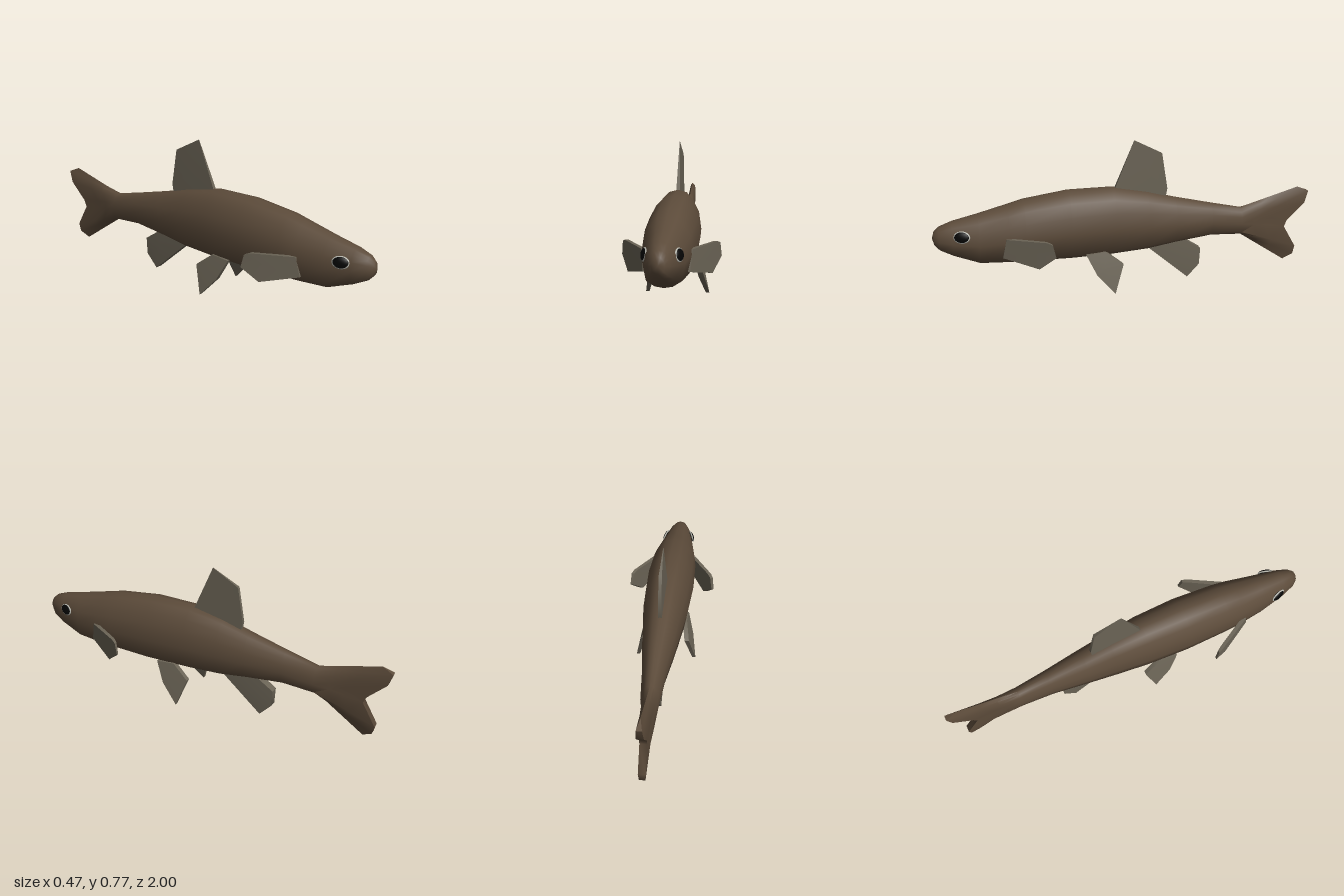
import * as THREE from 'three';
import { toCreasedNormals } from 'three/addons/utils/BufferGeometryUtils.js';

const material = (color) => new THREE.MeshStandardMaterial({ color, side: THREE.DoubleSide });

function makeGeometry(positions, index) {
  const g = new THREE.BufferGeometry();
  g.setAttribute('position', new THREE.Float32BufferAttribute(positions, 3));
  g.setIndex(index);
  return toCreasedNormals(g, 0.95);
}

// Right half of a body section from back to belly: width and height fractions
const SECTION = [[0, 1], [0.38, 0.965], [0.65, 0.86], [0.9, 0.69], [1, 0.44], [0.83, 0.12], [0.42, 0.025], [0, 0]];

// Body stations: z, top, bottom, half width
const STATIONS = [
  [0.99, 0.365, 0.295, 0.028], [0.965, 0.388, 0.268, 0.048], [0.9, 0.412, 0.235, 0.07],
  [0.77, 0.442, 0.186, 0.094], [0.62, 0.48, 0.181, 0.117], [0.54, 0.502, 0.18, 0.123],
  [0.31, 0.535, 0.176, 0.13], [0.08, 0.537, 0.18, 0.12], [-0.1, 0.502, 0.19, 0.1],
  [-0.25, 0.46, 0.213, 0.085], [-0.45, 0.413, 0.235, 0.06], [-0.62, 0.375, 0.225, 0.046],
];

// Forked rear edge, one z, y pair per section level
const TAIL_EDGE = [[-0.94, 0.467], [-1, 0.443], [-0.98, 0.38], [-0.885, 0.285],
  [-0.87, 0.25], [-0.94, 0.13], [-0.93, 0.085], [-0.88, 0.053]];

function bodyGeometry() {
  // Each ring is a list of half-section points [x, y, z]
  const rings = STATIONS.map(([z, top, bottom, w]) =>
    SECTION.map(([fx, fy]) => [fx * w, bottom + fy * (top - bottom), z]));
  const root = rings[rings.length - 1];
  // The tail stalk flattens and fans out into the fork
  for (const [t, w] of [[0.3, 0.03], [0.55, 0.022], [1, 0.018]]) {
    rings.push(root.map(([, y, z], i) => [
      w * Math.min(1, SECTION[i][0] * (1 + t)),
      y + (TAIL_EDGE[i][1] - y) * t,
      z + (TAIL_EDGE[i][0] - z) * t,
    ]));
  }
  const half = SECTION.length, n = 2 * half - 2;
  const positions = [], index = [];
  for (const ring of rings) {
    for (let i = 0; i < n; i++) {
      const [x, y, z] = ring[i < half ? i : n - i];
      positions.push(i < half ? x : -x, y, z);
    }
  }
  for (let k = 0; k < rings.length - 1; k++) {
    for (let i = 0; i < n; i++) {
      const a = k * n + i, b = k * n + (i + 1) % n;
      index.push(a, b, a + n, b, b + n, a + n);
    }
  }
  // Nose cap
  const nose = positions.length / 3;
  positions.push(0, 0.33, 1);
  for (let i = 0; i < n; i++) index.push(nose, (i + 1) % n, i);
  // Rear edge of the tail
  const last = (rings.length - 1) * n;
  for (let j = 0; j < half - 1; j++) {
    const r0 = last + j, r1 = last + j + 1;
    const l0 = last + (n - j) % n, l1 = last + n - j - 1;
    if (j < half - 2) index.push(r0, r1, l1);
    if (j > 0) index.push(r0, l1, l0);
  }
  return makeGeometry(positions, index);
}

// Thick fin from an outline of z, y, half thickness; midX bends it sideways
function finGeometry(outline, midX = () => 0) {
  const n = outline.length;
  const centre = [0, 1, 2].map((k) => outline.reduce((s, p) => s + p[k], 0) / n);
  centre[2] *= 1.25;
  const positions = [], index = [];
  for (const s of [1, -1]) {
    for (const [z, y, t] of [...outline, centre]) positions.push(midX(z, y) + s * t, y, z);
  }
  const m = n + 1;
  for (let i = 0; i < n; i++) {
    const j = (i + 1) % n;
    index.push(n, i, j, m + n, m + j, m + i); // two faces
    index.push(i, m + i, j, j, m + i, m + j); // rim
  }
  return makeGeometry(positions, index);
}

export function createModel() {
  const model = new THREE.Group();
  const skin = material(0x5c4b3a), finSkin = material(0x6a6355);
  const black = material(0x050505), pale = material(0xb5b5ac);

  const add = (name, geometry, mat, parent = model) => {
    const mesh = new THREE.Mesh(geometry, mat);
    mesh.name = name;
    parent.add(mesh);
    return mesh;
  };

  add('bodyAndTail', bodyGeometry(), skin);

  // Fins on the centre line
  add('dorsalFin', finGeometry([
    [0.07, 0.525, 0.01], [-0.2, 0.46, 0.01], [-0.21, 0.51, 0.009], [-0.18, 0.7, 0.008], [-0.035, 0.775, 0.001],
  ]), finSkin);
  add('analFin', finGeometry([
    [-0.1, 0.2, 0.022], [-0.325, 0.005, 0.02], [-0.39, 0.075, 0.02], [-0.395, 0.165, 0.02], [-0.28, 0.24, 0.022],
  ]), finSkin);

  for (const side of [1, -1]) {
    const label = side > 0 ? 'left' : 'right';

    // Paired fins
    add(label + 'PectoralFin', finGeometry([
      [0.64, 0.335, 0.012], [0.66, 0.235, 0.012], [0.49, 0.197, 0.012], [0.41, 0.265, 0.006],
      [0.425, 0.33, 0.008], [0.45, 0.34, 0.01],
    ], (z) => side * (0.105 + (0.64 - z) * 0.55)), finSkin);
    add(label + 'PelvicFin', finGeometry([
      [0.24, 0.215, 0.012], [0.19, 0.11, 0.014], [0.1, 0.01, 0.009], [0.05, 0.155, 0.012], [0.14, 0.225, 0.012],
    ], (z, y) => side * (0.1 + (0.22 - y) * 0.26)), finSkin);

    // Eye: dark flattened ball in a thin pale rim
    const eye = new THREE.Group();
    eye.name = label + 'Eye';
    eye.position.set(side * 0.075, 0.35, 0.855);
    eye.rotation.set(0, side * -0.3, side * 0.22);
    const ball = new THREE.SphereGeometry(1, 20, 12);
    add('eyeball', ball, black, eye).scale.set(0.013, 0.028, 0.039);
    add('eyeRim', ball, pale, eye).scale.set(0.008, 0.031, 0.043);
    model.add(eye);
  }
  return model;
}
